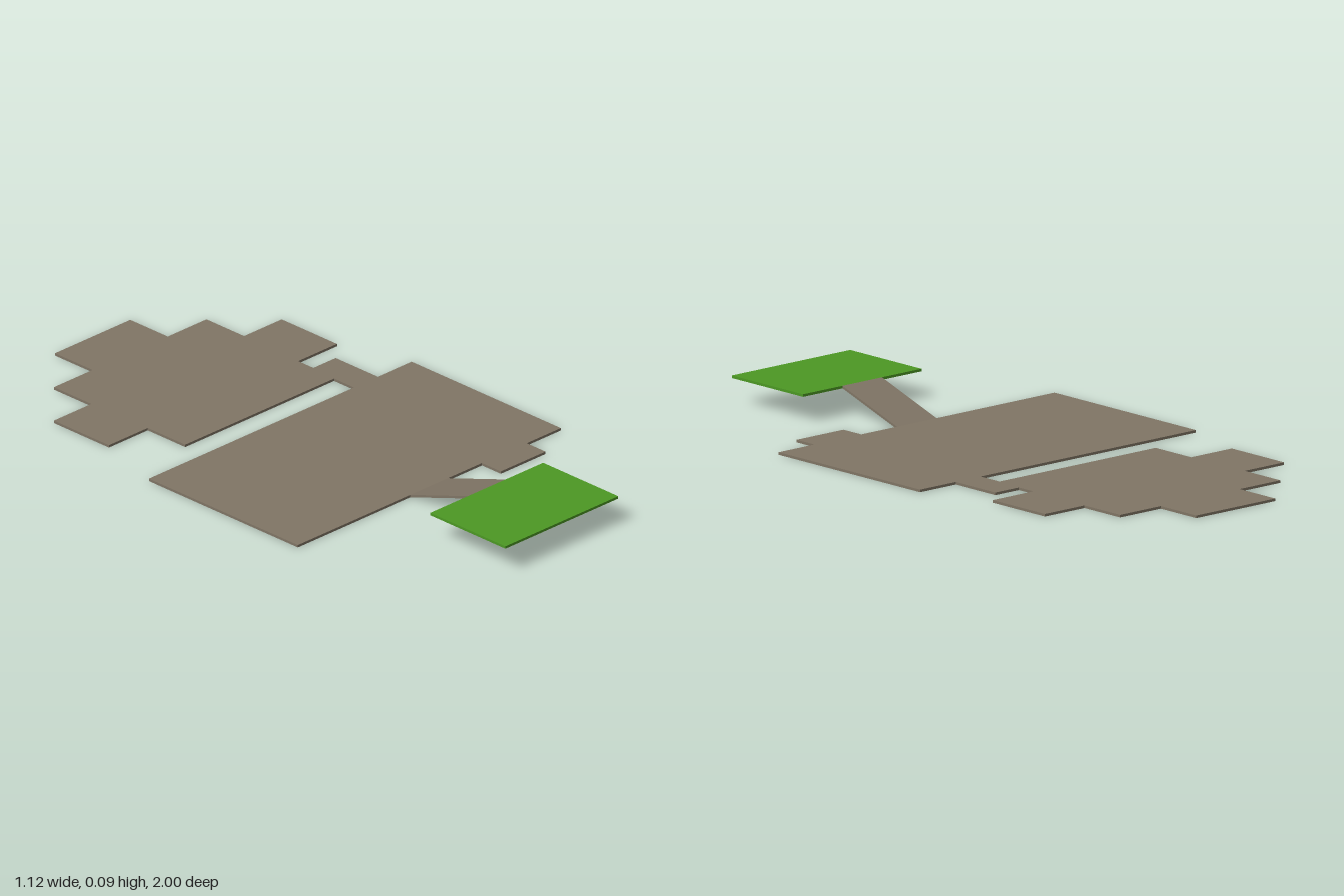
import * as THREE from 'three';

const T = 0.008; // slab thickness

// Flat slab from an [x, z] outline, standing on y = 0
function slab(name, points, material) {
  const shape = new THREE.Shape(points.map(([x, z]) => new THREE.Vector2(x, -z)));
  const geo = new THREE.ExtrudeGeometry(shape, { depth: T, bevelEnabled: false });
  geo.rotateX(-Math.PI / 2);
  const mesh = new THREE.Mesh(geo, material);
  mesh.name = name;
  return mesh;
}

export function createModel() {
  const group = new THREE.Group();
  group.name = 'steppedPlatform';
  const stone = new THREE.MeshStandardMaterial({ color: 0x807565 });
  stone.name = 'stone';
  const green = new THREE.MeshStandardMaterial({ color: 0x4c9823 });
  green.name = 'green';

  // Stepped rear platform, narrow link and main floor in one outline
  group.add(slab('floor', [
    [-0.16, -1], [0.16, -1], [0.16, -0.84], [0.325, -0.84], [0.325, -0.68],
    [0.485, -0.68], [0.485, -0.445], [0.32, -0.445], [0.32, -0.38],
    [0.415, -0.38], [0.415, -0.2], [0.56, -0.2], [0.56, 0.435],
    [0.415, 0.435], [0.415, 0.515], [0.225, 0.515], [0.225, 0.435],
    [-0.56, 0.435], [-0.56, -0.2], [0.313, -0.2], [0.313, -0.285],
    [-0.32, -0.285], [-0.32, -0.445], [-0.485, -0.445], [-0.485, -0.68],
    [-0.325, -0.68], [-0.325, -0.84], [-0.16, -0.84],
  ], stone));

  // Sloping ramp: a box sheared up towards the front
  const rampGeo = new THREE.BoxGeometry(0.16, T, 0.245);
  const p = rampGeo.attributes.position;
  for (let i = 0; i < p.count; i++) {
    p.setY(i, p.getY(i) + (p.getZ(i) > 0 ? 0.086 : T / 2));
  }
  rampGeo.translate(0, 0, 0.5575);
  rampGeo.computeVertexNormals();
  const ramp = new THREE.Mesh(rampGeo, stone);
  ramp.name = 'ramp';
  group.add(ramp);

  // Raised green landing
  const landing = new THREE.Mesh(new THREE.BoxGeometry(0.48, T, 0.32), green);
  landing.name = 'landing';
  landing.position.set(0, 0.086, 0.84);
  group.add(landing);

  return group;
}
